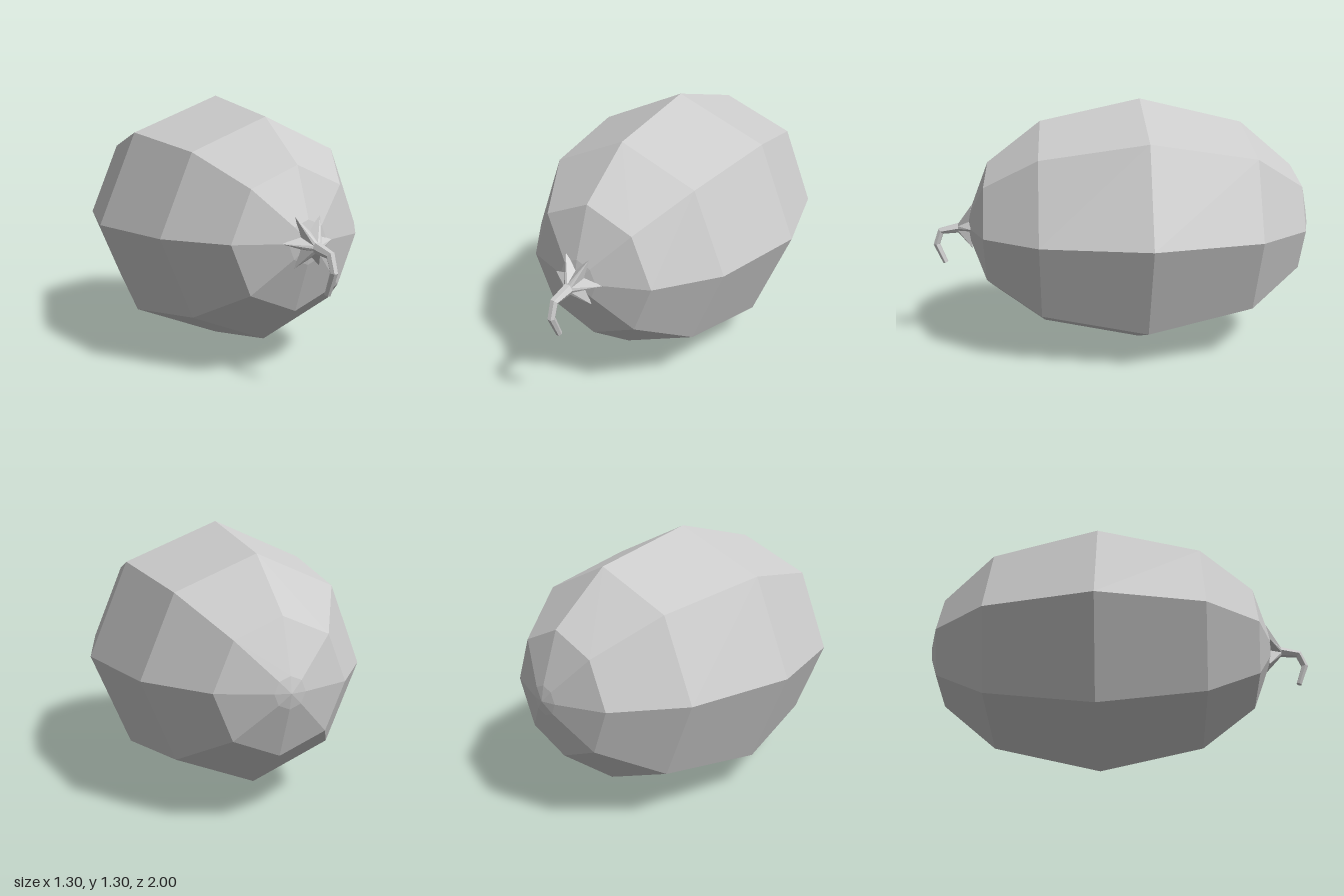
import * as THREE from 'three';

const CENTER_Y = 0.654;

function material() {
  return new THREE.MeshStandardMaterial({ color: 0xcccccc, flatShading: true });
}

// Faceted fruit: an eight-sided lathe lying along z
function createFruit() {
  const profile = [
    [0, -1], [0.07, -0.985], [0.3, -0.9], [0.53, -0.62], [0.652, -0.085],
    [0.54, 0.43], [0.33, 0.705], [0.1, 0.796], [0, 0.82],
  ].map(([r, z]) => new THREE.Vector2(r, z));
  const geometry = new THREE.LatheGeometry(profile, 8).rotateX(Math.PI / 2);
  const mesh = new THREE.Mesh(geometry, material());
  mesh.name = 'fruit';
  mesh.position.y = CENTER_Y;
  return mesh;
}

// Hooked six-sided stem that flares into a six-pointed star on the fruit
function createStem() {
  const SIDES = 12; // even points are corners, odd points lie between them
  const HEX = Math.cos(Math.PI / 6);
  // y, z: centre; tilt: downward lean of the ring; corner and valley radii; sink: valley z shift
  const rings = [
    { y: 0.656, z: 0.79, tilt: 0, corner: 0.13, valley: 0.055, sink: 0.01 },
    { y: 0.64, z: 0.868, tilt: 0, corner: 0.027, valley: 0.027 * HEX },
    { y: 0.624, z: 0.96, tilt: 0.7, corner: 0.02, valley: 0.02 * HEX },
    { y: 0.555, z: 0.985, tilt: 1.62, corner: 0.018, valley: 0.018 * HEX },
    { y: 0.454, z: 0.944, tilt: 1.95, corner: 0.014, valley: 0.014 * HEX },
  ];
  const positions = [];
  const index = [];
  for (const ring of rings) {
    for (let i = 0; i < SIDES; i++) {
      const angle = (i / SIDES) * Math.PI * 2;
      const odd = i % 2 === 1;
      const r = odd ? ring.valley : ring.corner;
      const up = Math.sin(angle) * r;
      positions.push(
        Math.cos(angle) * r,
        ring.y + up * Math.cos(ring.tilt),
        ring.z + up * Math.sin(ring.tilt) + (odd ? ring.sink || 0 : 0),
      );
    }
  }
  for (let k = 0; k < rings.length - 1; k++) {
    for (let i = 0; i < SIDES; i++) {
      const a = k * SIDES + i;
      const b = k * SIDES + ((i + 1) % SIDES);
      // Mirror the diagonals so each star point is symmetric
      if (i % 2 === 0) index.push(a, b, b + SIDES, a, b + SIDES, a + SIDES);
      else index.push(a, b, a + SIDES, b, b + SIDES, a + SIDES);
    }
  }
  // Cut end
  const last = (rings.length - 1) * SIDES;
  for (let i = 1; i < SIDES - 1; i++) index.push(last, last + i, last + i + 1);

  const geometry = new THREE.BufferGeometry();
  geometry.setAttribute('position', new THREE.Float32BufferAttribute(positions, 3));
  geometry.setIndex(index);
  geometry.computeVertexNormals();
  const mesh = new THREE.Mesh(geometry, material());
  mesh.name = 'stem';
  return mesh;
}

export function createModel() {
  const group = new THREE.Group();
  group.name = 'melon';
  group.add(createFruit(), createStem());
  return group;
}
